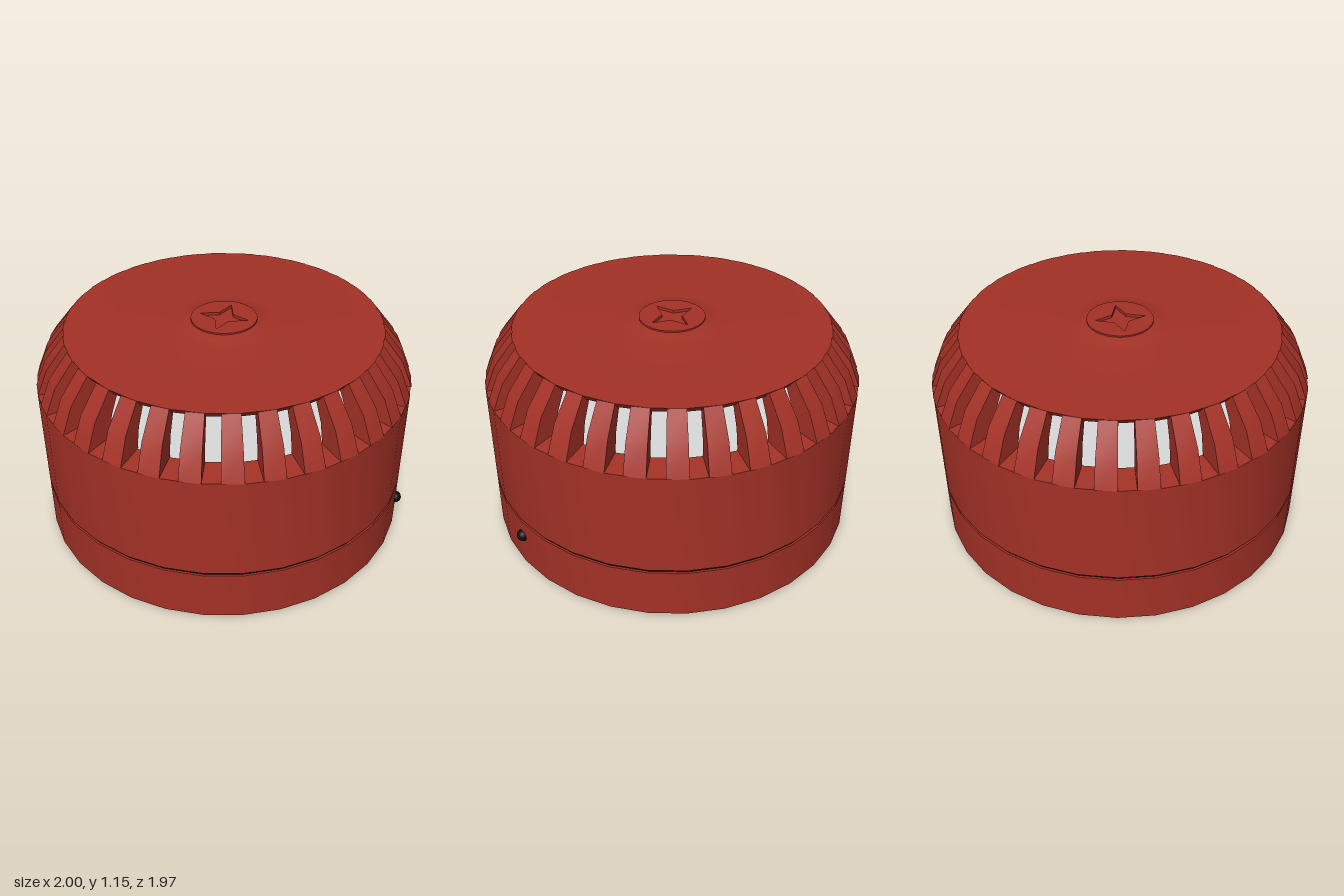
import * as THREE from 'three';
import { toCreasedNormals, mergeGeometries } from 'three/addons/utils/BufferGeometryUtils.js';

const SIDES = 32;
const STEP = (Math.PI * 2) / SIDES;

const red = new THREE.MeshStandardMaterial({ color: 0xa33126 });
red.name = 'red casing';
const grey = new THREE.MeshStandardMaterial({ color: 0xdadada });
grey.name = 'light grey interior';
const black = new THREE.MeshStandardMaterial({ color: 0x0c0c0c });
black.name = 'black seal';

const vecs = (pts) => pts.map(([x, y]) => new THREE.Vector2(x, y));

function part(name, geometry, material) {
  const mesh = new THREE.Mesh(geometry, material);
  mesh.name = name;
  return mesh;
}

// Revolved part, smooth round the drum and sharp at its rims
function turned(name, pts, material) {
  return part(name, toCreasedNormals(new THREE.LatheGeometry(vecs(pts), SIDES), 0.5), material);
}

// Closed radius/height profile swept through a small angle
function wedge(shape, from, to) {
  const geo = new THREE.ExtrudeGeometry(shape, { depth: 1, steps: 1, bevelEnabled: false });
  const p = geo.attributes.position;
  for (let i = 0; i < p.count; i++) {
    const r = p.getX(i);
    const a = to - p.getZ(i) * (to - from);
    p.setXYZ(i, r * Math.sin(a), p.getY(i), r * Math.cos(a));
  }
  return geo;
}

export function createModel() {
  const model = new THREE.Group();
  model.name = 'sounder';
  const drum = new THREE.Group();
  drum.name = 'drum';
  drum.position.x = -0.015;
  model.add(drum);

  // Mounting base, dark seam and main shell
  drum.add(turned('base', [[0, 0], [0.975, 0], [0.985, 0.01], [0.985, 0.283], [0.96, 0.283]], red));
  drum.add(turned('seal', [[0.974, 0.278], [0.974, 0.305]], black));
  drum.add(turned('shell', [[0.96, 0.3], [0.985, 0.3], [0.985, 0.855], [0.845, 0.87], [0.845, 0.84]], red));

  // Interior floor and central housing seen through the slots
  drum.add(turned('innerFloor', [[0.85, 0.866], [0, 0.866]], grey));
  drum.add(turned('innerHousing', [[0.27, 0.866], [0.27, 1.095]], grey));

  // Ribs between the slots
  const ribShape = new THREE.Shape(vecs([
    [0.845, 0.85], [0.985, 0.855], [0.927, 0.995], [0.824, 1.125], [0.77, 1.09], [0.82, 0.98],
  ]));
  const ribs = [];
  for (let i = 0; i < SIDES; i++) ribs.push(wedge(ribShape, i * STEP + 0.092, (i + 1) * STEP + 0.003));
  drum.add(part('ribs', toCreasedNormals(mergeGeometries(ribs), 0.5), red));

  // Lid with a raised centre
  drum.add(turned('lid', [
    [0, 1.092], [0.8, 1.092], [0.824, 1.125], [0.28, 1.125], [0.21, 1.131], [0.182, 1.145], [0.165, 1.145],
    [0.165, 1.138], [0, 1.138],
  ], red));

  // Centre cap with a four-pointed recess
  const cap = new THREE.Shape();
  cap.absarc(0, 0, 0.172, 0, Math.PI * 2, false);
  const star = [];
  for (let i = 0; i < 8; i++) {
    const r = i % 2 ? 0.052 : 0.13;
    star.push([r * Math.cos((i * Math.PI) / 4), r * Math.sin((i * Math.PI) / 4)]);
  }
  cap.holes.push(new THREE.Path(vecs(star)));
  const capGeo = new THREE.ExtrudeGeometry(cap, { depth: 0.018, bevelEnabled: false, curveSegments: 16 });
  capGeo.rotateX(-Math.PI / 2);
  const capMesh = part('centreCap', toCreasedNormals(capGeo, 0.5), red);
  capMesh.position.y = 1.135;
  drum.add(capMesh);

  // Side button
  const button = part('sideButton', new THREE.SphereGeometry(0.032, 16, 12), black);
  button.position.set(0.968, 0.19, 0);
  model.add(button);

  return model;
}
